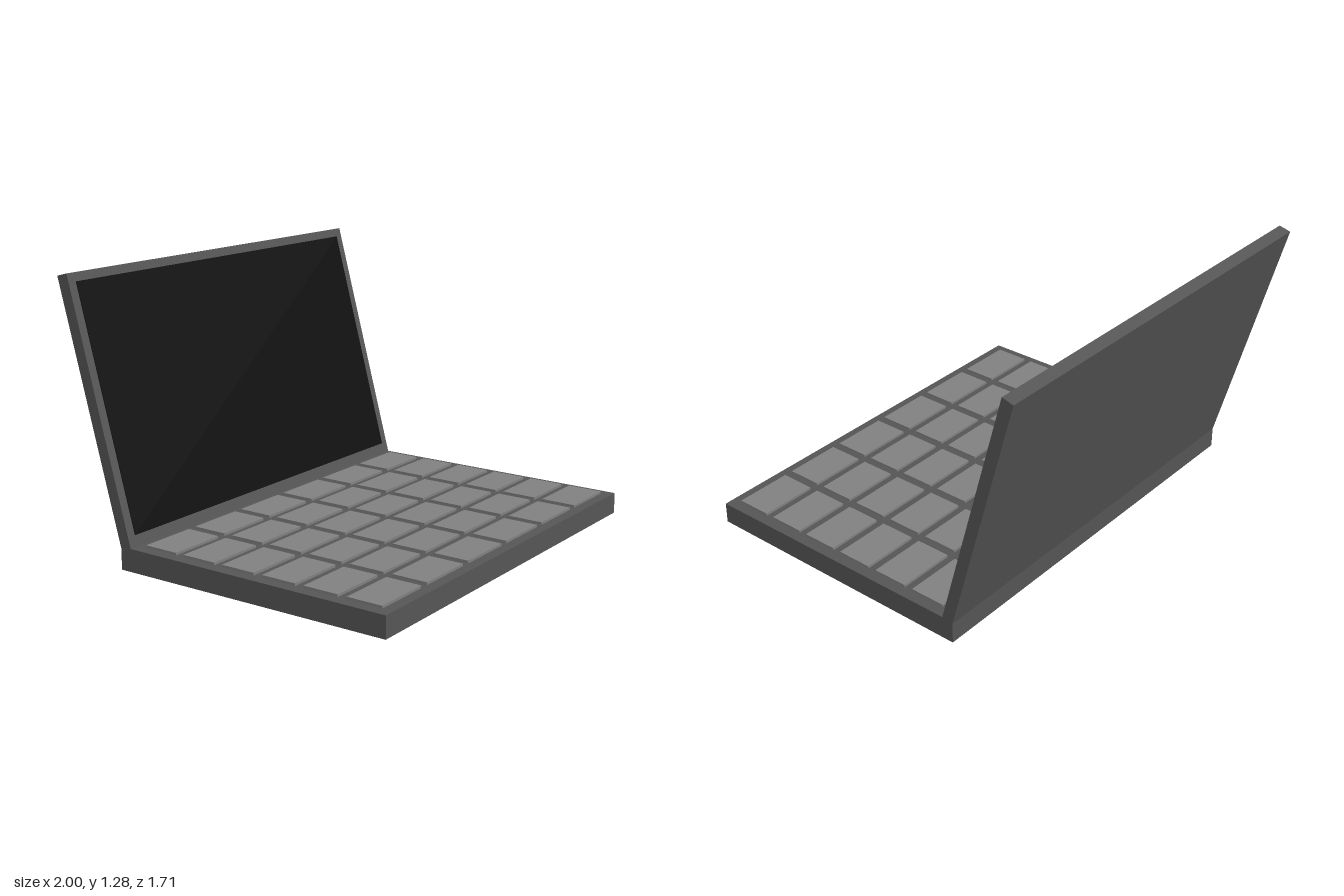
import * as THREE from 'three';

const paint = (color) => new THREE.MeshStandardMaterial({ color, flatShading: true });

// Extrudes a side profile of [z, y] points across the full width, centred on x = 0
function sideExtrude(points, width) {
  const shape = new THREE.Shape(points.map(([z, y]) => new THREE.Vector2(-z, y)));
  const geometry = new THREE.ExtrudeGeometry(shape, { depth: width, bevelEnabled: false });
  geometry.translate(0, 0, -width / 2);
  geometry.rotateY(Math.PI / 2);
  return geometry;
}

export function createModel() {
  const model = new THREE.Group();
  const bodyPaint = paint(0x555555);
  const keyPaint = paint(0x808080);
  const screenPaint = paint(0x0c0c0c);

  const add = (name, geometry, material, parent = model) => {
    const mesh = new THREE.Mesh(geometry, material);
    mesh.name = name;
    parent.add(mesh);
    return mesh;
  };

  // Base slab, rising very slightly towards the hinge
  const frontZ = 0.857, hingeZ = -0.48, backZ = -0.536;
  const frontY = 0.1, hingeY = 0.106;
  add('base', sideExtrude([[frontZ, 0], [frontZ, frontY], [hingeZ, hingeY], [backZ, 0.098], [backZ, 0]], 2), bodyPaint);

  // Lid leaning back from the hinge
  const lidTop = [-0.801, 1.284];
  add('lid', sideExtrude([[hingeZ, hingeY], lidTop, [-0.857, 1.269], [backZ, 0.098]], 2), bodyPaint);

  // Dark screen, almost flush with the lid's front face
  const lean = Math.atan2(hingeZ - lidTop[0], lidTop[1] - hingeY);
  const midY = 0.7;
  const screen = add('screen', new THREE.BoxGeometry(1.914, 1.09 / Math.cos(lean), 0.006), screenPaint);
  screen.position.set(0, midY, hingeZ - (midY - hingeY) * Math.tan(lean));
  screen.rotation.x = -lean;

  // Six by six keys following the slope of the base
  const keys = new THREE.Group();
  keys.name = 'keys';
  model.add(keys);
  const slope = (hingeY - frontY) / (frontZ - hingeZ);
  const keyGeometry = new THREE.BoxGeometry(0.28, 0.024, 0.171);
  for (let row = 0; row < 6; row++) {
    for (let column = 0; column < 6; column++) {
      const z = 0.72 - row * 0.214;
      const key = add('key', keyGeometry, keyPaint, keys);
      key.position.set((column - 2.5) * 0.3236, frontY + (frontZ - z) * slope, z);
      key.rotation.x = Math.atan(slope);
    }
  }
  return model;
}
